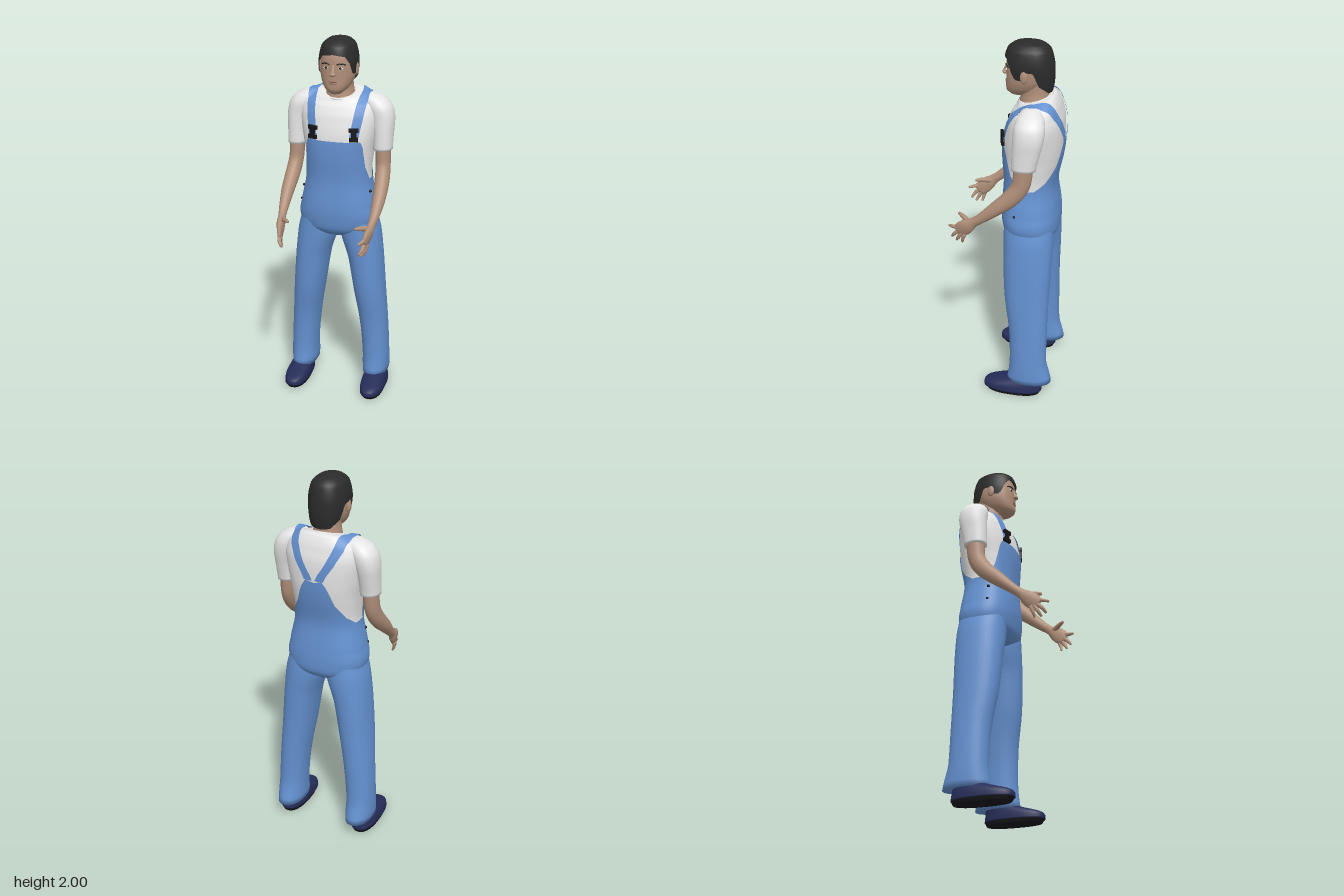
import * as THREE from 'three';
import { mergeVertices } from 'three/addons/utils/BufferGeometryUtils.js';

const V = (x, y, z) => new THREE.Vector3(x, y, z);
const mat = (name, color, side = THREE.FrontSide) => {
  const m = new THREE.MeshStandardMaterial({ color, side });
  m.name = name;
  return m;
};

// Smooth surface from point(u, v); v runs downwards, u to the right seen from outside
function surface(point, nu, nv) {
  const g = new THREE.PlaneGeometry(1, 1, nu, nv);
  const p = g.attributes.position;
  for (let j = 0, k = 0; j <= nv; j++)
    for (let i = 0; i <= nu; i++, k++) {
      const q = point(i / nu, j / nv);
      p.setXYZ(k, q.x, q.y, q.z);
    }
  g.deleteAttribute('uv');
  g.deleteAttribute('normal');
  const merged = mergeVertices(g, 1e-5);
  merged.computeVertexNormals();
  return merged;
}

// Catmull-Rom through rows of numbers
function blend(rows, i, t) {
  const at = k => rows[Math.min(Math.max(k, 0), rows.length - 1)];
  const [a, b, c, d] = [at(i - 1), at(i), at(i + 1), at(i + 2)];
  return b.map((_, k) => b[k] + 0.5 * t * (c[k] - a[k] + t * (2 * a[k] - 5 * b[k] + 4 * c[k] - d[k]
    + t * (3 * (b[k] - c[k]) + d[k] - a[k]))));
}

// Superellipse point on upright sections [y, cx, cz, rx, rz], listed top down
function ringPoint(rows, y, theta, n = 2.2, grow = 0) {
  let i = 0;
  while (i < rows.length - 2 && y < rows[i + 1][0]) i++;
  const t = THREE.MathUtils.clamp((rows[i][0] - y) / (rows[i][0] - rows[i + 1][0]), 0, 1);
  const [, cx, cz, rx, rz] = blend(rows, i, t);
  const s = Math.sin(theta), c = Math.cos(theta);
  const pw = w => Math.sign(w) * Math.pow(Math.abs(w), 2 / n);
  return V(cx + Math.max(0, rx + grow) * pw(s), y, cz + Math.max(0, rz + grow) * pw(c));
}

// Upright closed form with flat caps
function loft(rows, nv = 24, n = 2.2, nu = 36) {
  const top = rows[0], bottom = rows[rows.length - 1];
  return surface((u, v) => {
    if (v === 0) return V(top[1], top[0], top[2]);
    if (v === 1) return V(bottom[1], bottom[0], bottom[2]);
    const t = (v * nv - 1) / (nv - 2);
    return ringPoint(rows, top[0] + (bottom[0] - top[0]) * t, (u % 1) * Math.PI * 2, n);
  }, nu, nv);
}

// Limb along rows [x, y, z, sideRadius, depthRadius]
function limb(rows, nv = 24, nu = 18) {
  const at = t => {
    const f = t * (rows.length - 1), i = Math.min(Math.floor(f), rows.length - 2);
    return blend(rows, i, f - i);
  };
  return surface((u, v) => {
    const t = THREE.MathUtils.clamp((v * nv - 1) / (nv - 2), 0, 1);
    const [x, y, z, ra, rb] = at(t);
    const before = at(Math.max(0, t - 0.02)), after = at(Math.min(1, t + 0.02));
    const dir = V(after[0] - before[0], after[1] - before[1], after[2] - before[2]).normalize();
    const b = dir.clone().cross(V(1, 0, 0)).normalize();
    const a = b.clone().cross(dir);
    const k = v === 0 || v === 1 ? 0 : 1, th = (u % 1) * Math.PI * 2;
    return V(x, y, z).addScaledVector(a, k * ra * Math.sin(th)).addScaledVector(b, k * rb * Math.cos(th))
      .addScaledVector(dir, v === 1 ? rb * 0.4 : 0);
  }, nu, nv);
}

// Linear lookup in [degrees, value] pairs
function lookup(table, deg) {
  let i = 0;
  while (i < table.length - 2 && deg > table[i + 1][0]) i++;
  const [a, b] = [table[i], table[i + 1]];
  return THREE.MathUtils.mapLinear(deg, a[0], b[0], a[1], b[1]);
}
const fromFront = th => Math.abs(THREE.MathUtils.radToDeg(th > Math.PI ? th - 2 * Math.PI : th));

const TORSO = [
  [1.712, 0, -.135, .075, .07], [1.70, 0, -.14, .135, .09], [1.66, 0, -.145, .195, .115],
  [1.6, 0, -.14, .212, .138], [1.5, 0, -.13, .2, .152], [1.4, 0, -.124, .182, .15],
  [1.25, 0, -.115, .172, .133], [1.1, 0, -.118, .2, .146], [1.03, 0, -.122, .21, .146],
  [.97, 0, -.125, .185, .135], [.93, 0, -.125, .1, .09], [.915, 0, -.125, 0, 0]];
const BIB_EDGE = [[0, 1.475], [41, 1.475], [48, 1.44], [60, 1.33], [78, 1.255], [105, 1.255],
  [130, 1.3], [150, 1.37], [163, 1.46], [171, 1.5], [180, 1.49]];
const HAIR = [[2, 0, -.1, 0, 0], [1.988, 0, -.1, .052, .07], [1.96, 0, -.098, .084, .107],
  [1.9, 0, -.098, .099, .124], [1.85, 0, -.1, .1, .126], [1.79, 0, -.11, .092, .115], [1.73, 0, -.125, .08, .09]];
const HAIR_EDGE = [[0, 1.925], [35, 1.915], [50, 1.88], [62, 1.82], [80, 1.82], [88, 1.865],
  [104, 1.865], [115, 1.79], [145, 1.75], [180, 1.745]];

export function createModel() {
  const model = new THREE.Group();
  const denim = mat('denim blue', 0x6491d0, THREE.DoubleSide);
  const white = mat('shirt white', 0xe6e6e6, THREE.DoubleSide);
  const skin = mat('skin', 0xb08f79);
  const hair = mat('hair black', 0x2b2b2b, THREE.DoubleSide);
  const navy = mat('shoe navy', 0x262d58);
  const black = mat('black', 0x17171b);
  const lip = mat('lip', 0x946c60);
  const add = (name, geometry, material, x = 0, y = 0, z = 0) => {
    const m = new THREE.Mesh(geometry, material);
    m.name = name;
    m.position.set(x, y, z);
    model.add(m);
    return m;
  };
  const blob = (name, material, pos, size) =>
    add(name, new THREE.SphereGeometry(1, 16, 12), material, ...pos).scale.set(...size);

  // Shirt body with a neckline that dips at the front
  const shirt = add('shirt', surface((u, v) => {
    if (v === 0) return V(0, 1.7, -.135);
    const p = ringPoint(TORSO, 1.712 - .5 * Math.pow(v, 1.3), (u % 1) * Math.PI * 2, 2.4);
    p.y -= .25 * (p.z + .13) * THREE.MathUtils.smoothstep(p.y, 1.64, 1.7);
    return p;
  }, 60, 40), white);
  const collar = add('collar', new THREE.TorusGeometry(.082, .008, 8, 36), white, 0, 1.702, -.133);
  collar.rotation.x = Math.PI / 2 + .28;

  // Overalls body: bib in front, tapering panel behind
  add('overallsBody', surface((u, v) => {
    const th = (u % 1) * Math.PI * 2;
    const top = lookup(BIB_EDGE, fromFront(th));
    return ringPoint(TORSO, top + (.915 - top) * v, th, 2.4, .006);
  }, 120, 40), denim);

  // Head, neck and hair
  add('neck', loft([[1.82, 0, -.125, .068, .075], [1.74, 0, -.128, .068, .07], [1.7, 0, -.13, .076, .075],
    [1.65, 0, -.13, .09, .085]], 12, 2), skin);
  add('head', loft([[1.97, 0, -.1, .06, .08], [1.92, 0, -.098, .086, .107], [1.86, 0, -.095, .091, .111],
    [1.8, 0, -.085, .087, .101], [1.76, 0, -.072, .072, .09], [1.735, 0, -.058, .052, .072],
    [1.718, 0, -.05, .03, .045]], 28), skin);
  add('hair', surface((u, v) => {
    const th = (u % 1) * Math.PI * 2;
    return ringPoint(HAIR, 2 - (2 - lookup(HAIR_EDGE, fromFront(th))) * Math.pow(v, 1.8), th);
  }, 72, 24), hair);
  add('noseBridge', limb([[0, 1.872, .01, .008, .007], [0, 1.845, .018, .01, .011], [0, 1.825, .024, .014, .013]], 10, 12), skin);
  blob('noseTip', skin, [0, 1.826, .022], [.017, .011, .016]);
  blob('upperLip', lip, [0, 1.787, .012], [.025, .005, .009]);
  blob('lowerLip', lip, [0, 1.778, .012], [.021, .006, .009]);

  // Shoulder sleeves first, so the straps can rest on them
  const cloth = [shirt];
  for (const s of [1, -1]) {
    const side = s > 0 ? 'left' : 'right';
    const flip = (rows, k = 0) => rows.map(r => r.map((w, i) => (i === k ? w * s : w)));
    cloth.push(add(side + 'Sleeve', loft(flip([[1.706, .145, -.14, .035, .03], [1.685, .175, -.142, .062, .058],
      [1.64, .207, -.142, .068, .076], [1.58, .226, -.14, .062, .077], [1.5, .233, -.13, .053, .07],
      [1.415, .234, -.12, .05, .062]], 1)), white));

    // Arm and hand
    add(side + 'Arm', limb(flip([[.235, 1.5, -.125, .04, .048], [.236, 1.4, -.118, .04, .049],
      [.24, 1.32, -.105, .039, .047], [.246, 1.25, -.058, .039, .045], [.25, 1.18, .02, .034, .037],
      [.247, 1.115, .095, .025, .027], [.242, 1.08, .14, .02, .026], [.238, 1.055, .17, .021, .038],
      [.232, 1.03, .2, .017, .043], [.226, 1.008, .225, .011, .034]]), 44), skin);
    const fingers = {
      Thumb: [[.235, 1.07, .16, .015, .016], [.205, 1.084, .2, .012, .013], [.18, 1.09, .232, .007, .008]],
      Index: [[.23, 1.035, .215, .011, .012], [.222, 1.03, .25, .01, .01], [.208, 1.026, .28, .006, .006]],
      Middle: [[.228, 1.018, .215, .011, .012], [.222, .987, .248, .01, .01], [.208, .963, .265, .006, .006]],
      Ring: [[.23, 1.005, .205, .011, .012], [.225, .968, .228, .009, .01], [.212, .945, .24, .006, .006]],
      Pinky: [[.235, 1, .19, .01, .011], [.23, .963, .203, .008, .009], [.22, .94, .207, .005, .005]],
    };
    for (const [name, rows] of Object.entries(fingers)) add(side + name, limb(flip(rows), 12, 10), skin);

    // Trouser leg with flared hem
    add(side + 'TrouserLeg', loft(flip([[1.08, .105, -.12, .09, .125], [.95, .117, -.126, .109, .132],
      [.8, .148, -.127, .095, .128], [.6, .172, -.13, .086, .119], [.4, .195, -.143, .077, .104],
      [.2, .209, -.148, .073, .102], [.12, .21, -.154, .073, .116], [.08, .211, -.155, .07, .124]], 1), 34), denim);

    // Shoe and sole
    add(side + 'Shoe', loft(flip([[.115, .215, -.15, .042, .055], [.085, .217, -.115, .055, .105],
      [.055, .221, -.07, .065, .155], [.02, .222, -.065, .068, .164]], 1), 16, 2.4), navy);
    add(side + 'Sole', loft(flip([[.022, .222, -.065, .067, .162], [0, .222, -.068, .06, .15]], 1), 6, 2.4), black);

    // Ear, eye and brow
    blob(side + 'Ear', skin, [s * .097, 1.84, -.09], [.01, .034, .02]);
    blob(side + 'EyeWhite', white, [s * .038, 1.856, .008], [.015, .0055, .005]);
    blob(side + 'Pupil', black, [s * .038, 1.857, .011], [.007, .0055, .004]);
    add(side + 'Brow', limb(flip([[.018, 1.874, .016, .003, .003], [.04, 1.88, .01, .004, .004],
      [.062, 1.873, -.005, .003, .003]]), 10, 8), hair);

    // Hip buttons
    for (const y of [1.11, 1.19]) blob(side + 'HipButton', black, [s * (y < 1.15 ? .192 : .18), y, -.065], [.012, .008, .008]);

    // Buckle: two plates joined by a bar
    const buckle = new THREE.Group();
    buckle.name = side + 'Buckle';
    buckle.position.set(s * .11, 1.515, .014);
    buckle.rotation.y = s * .35;
    for (const [w, h, y] of [[.05, .02, .025], [.026, .05, 0], [.046, .022, -.024]]) {
      const plate = new THREE.Mesh(new THREE.BoxGeometry(w, h, .016), black);
      plate.name = 'bucklePlate';
      plate.position.y = y;
      buckle.add(plate);
    }
    model.add(buckle);
  }

  // Straps laid over the shoulders by projecting onto the shirt
  const STRAP = [[0, .11], [45, .127], [90, .143], [125, .12], [150, .08], [170, .042], [180, .03]];
  const caster = new THREE.Raycaster();
  for (const s of [1, -1]) {
    add(s > 0 ? 'leftStrap' : 'rightStrap', surface((u, v) => {
      const deg = (1 - v) * 180, phi = THREE.MathUtils.degToRad(deg);
      const centre = V(s * lookup(STRAP, deg) + (u - .5) * .046, 1.5, -.13);
      const dir = V(0, Math.sin(phi), Math.cos(phi));
      caster.set(centre.clone().add(dir), dir.clone().negate());
      const hit = caster.intersectObjects(cloth, false)[0];
      return (hit ? hit.point : centre.addScaledVector(dir, .15)).clone().addScaledVector(dir, .008);
    }, 4, 48), denim);
  }
  return model;
}
